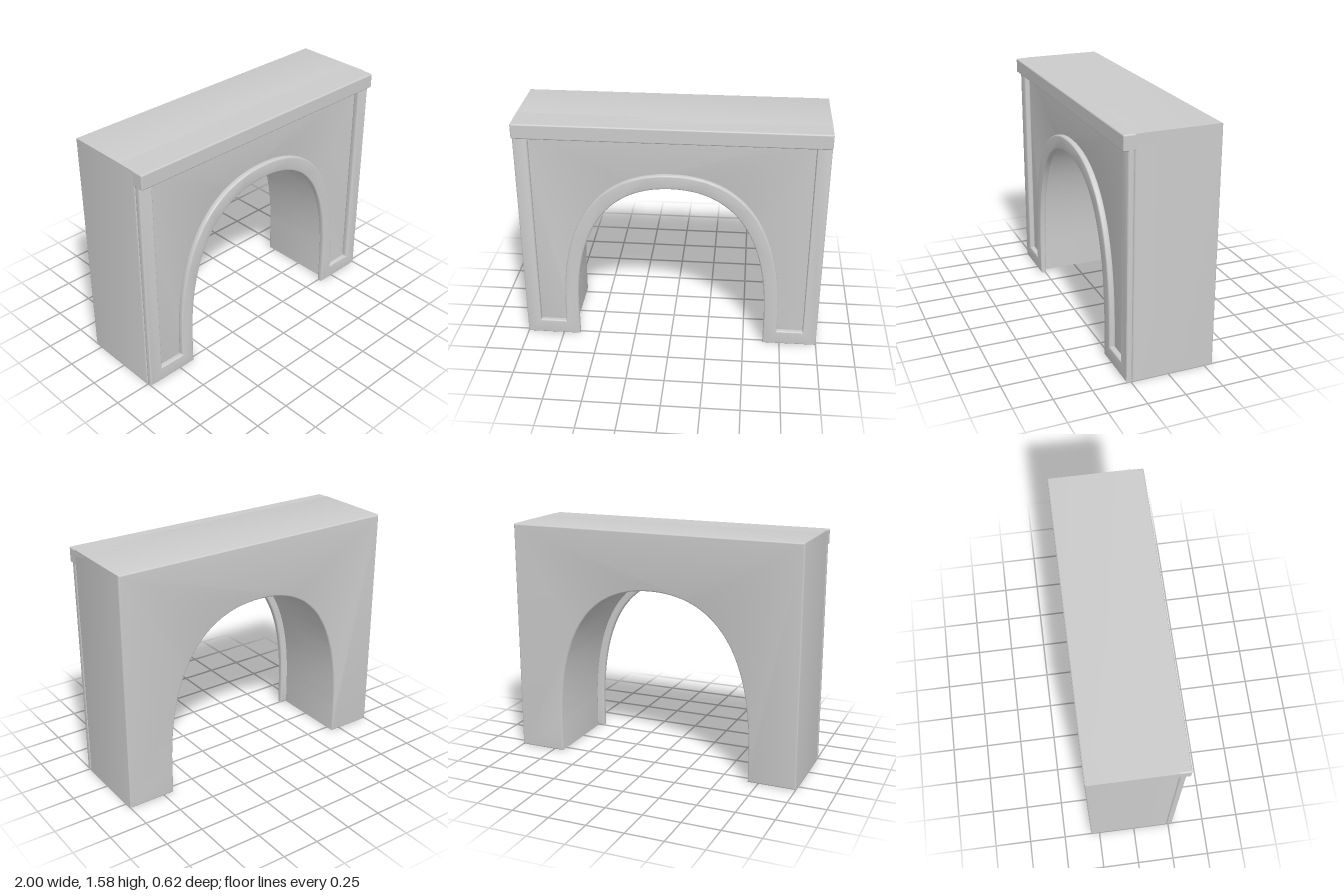
import * as THREE from 'three';
import { toCreasedNormals } from 'three/addons/utils/BufferGeometryUtils.js';
import { RoundedBoxGeometry } from 'three/addons/geometries/RoundedBoxGeometry.js';

const BEVEL = 0.01;
const SPRING = 0.2; // height where the arch curve starts

const v = (x, y) => new THREE.Vector2(x, y);

// Squarish arch from the right foot, over the crown, to the left foot
function archPoints(halfWidth, crown, foot) {
  const k = 0.66, rise = crown - SPRING;
  const half = new THREE.CubicBezierCurve(
    v(halfWidth, SPRING),
    v(halfWidth, SPRING + k * rise),
    v(k * halfWidth, crown),
    v(0, crown)
  ).getPoints(28);
  const mirrored = half.slice(0, -1).reverse().map(p => v(-p.x, p.y));
  return [v(halfWidth, foot), ...half, ...mirrored, v(-halfWidth, foot)];
}

// Extrude an outline between two z values with softly bevelled edges
function slab(points, zBack, zFront) {
  const geometry = new THREE.ExtrudeGeometry(new THREE.Shape(points), {
    depth: zFront - zBack - 2 * BEVEL,
    bevelThickness: BEVEL,
    bevelSize: BEVEL,
    bevelOffset: -BEVEL,
    bevelSegments: 3,
  });
  geometry.translate(0, 0, zBack + BEVEL);
  return toCreasedNormals(geometry, 0.6);
}

export function createModel() {
  const group = new THREE.Group();
  group.name = 'archway';
  const material = new THREE.MeshStandardMaterial({ color: 0xcccccc });

  const add = (name, geometry) => {
    const mesh = new THREE.Mesh(geometry, material);
    mesh.name = name;
    group.add(mesh);
    return mesh;
  };

  // Main block with the arched passage
  add('body', slab([
    v(-1, 0), v(-1, 1.58), v(1, 1.58), v(1, 0),
    ...archPoints(0.68, 1.2, 0),
  ], -0.31, 0.24));

  // Raised front frame: side rails, feet and arch band around a sunken panel
  add('frontFrame', slab([
    v(-1, 0), v(-1, 1.49), v(-0.905, 1.49), v(-0.905, 0.1),
    ...archPoints(0.728, 1.25, 0.1).reverse(),
    v(0.905, 0.1), v(0.905, 1.49), v(1, 1.49), v(1, 0),
    ...archPoints(0.635, 1.155, 0),
  ], 0.24, 0.28));

  // Projecting ledge along the top of the front
  add('cornice', new RoundedBoxGeometry(2, 0.1, 0.21, 3, BEVEL))
    .position.set(0, 1.53, 0.205);

  return group;
}
